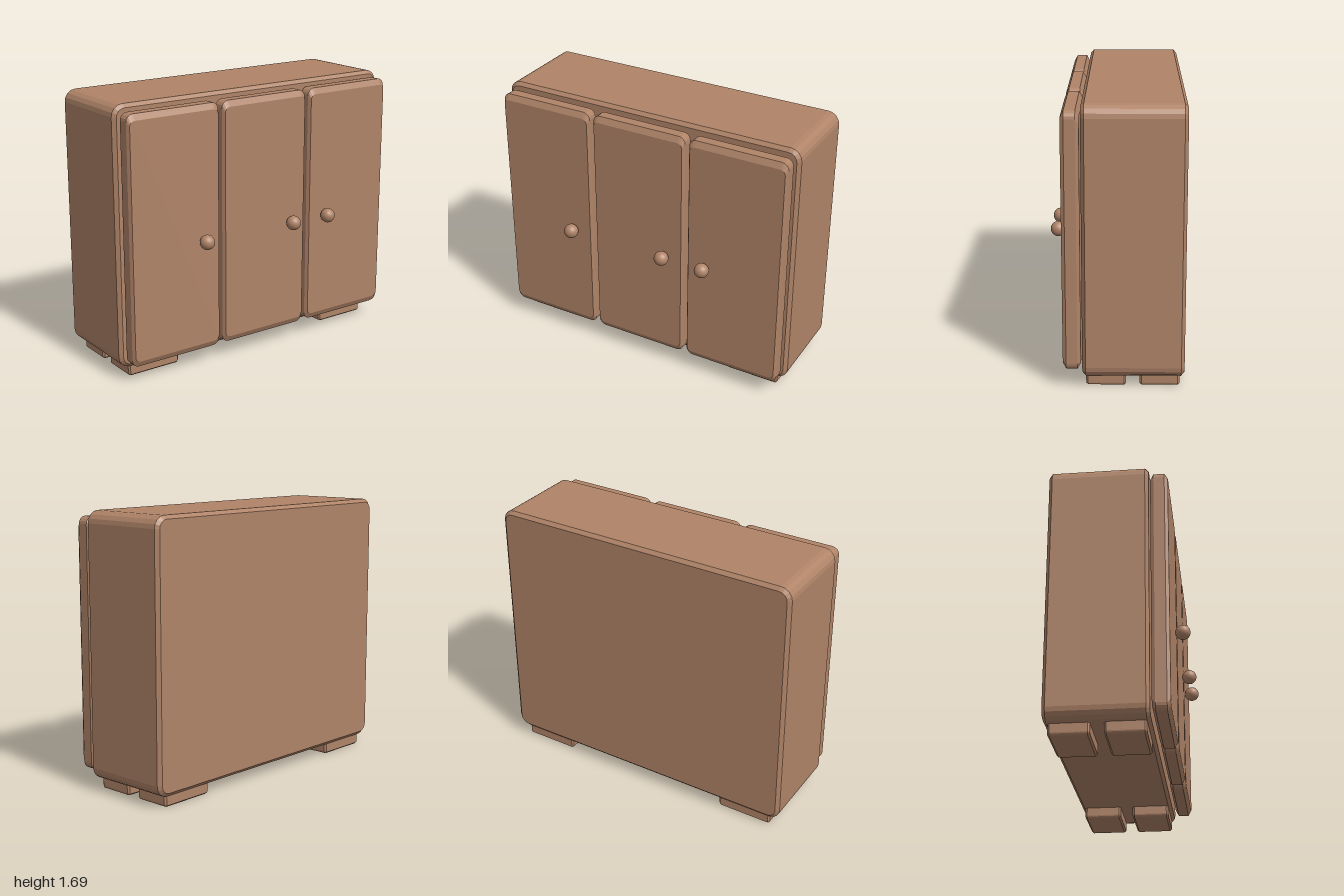
import * as THREE from 'three';

const wood = new THREE.MeshStandardMaterial({ color: 0xb08468, flatShading: true });
const knobWood = new THREE.MeshStandardMaterial({ color: 0xb08468 });

// Upright slab with faceted corners (radius r) and a chamfer round front and back.
// chamferY may be wider than chamferX; it is applied to the outer faces only.
function slab(w, h, d, r, chamferX, chamferY, chamferZ) {
  const c = chamferX, x = w / 2 - r, y = h / 2 - r, q = Math.PI / 2;
  const s = new THREE.Shape();
  [[x, y], [-x, y], [-x, -y], [x, -y]].forEach(([cx, cy], i) =>
    s.absarc(cx, cy, r - c, i * q, (i + 1) * q, false));
  s.closePath();
  const g = new THREE.ExtrudeGeometry(s, {
    depth: d - 2 * chamferZ, curveSegments: 2,
    bevelSegments: 1, bevelSize: c, bevelThickness: chamferZ,
  });
  g.translate(0, 0, chamferZ - d / 2);
  const p = g.attributes.position;
  const k = (h / 2 - chamferY) / (h / 2 - c);
  for (let i = 0; i < p.count; i++) {
    if (Math.abs(p.getZ(i)) > d / 2 - 1e-4) p.setY(i, p.getY(i) * k);
  }
  g.computeVertexNormals();
  return g;
}

export function createModel() {
  const group = new THREE.Group();
  group.name = 'wardrobe';
  const add = (name, geometry, x, y, z, material = wood) => {
    const m = new THREE.Mesh(geometry, material);
    m.name = name;
    m.position.set(x, y, z);
    group.add(m);
  };

  // Cabinet body
  add('cabinetBody', slab(2, 1.62, 0.595, 0.075, 0.022, 0.022, 0.02), 0, 0.88, -0.1025);

  // Three doors, each with a round knob
  const doorGeo = slab(0.63, 1.54, 0.105, 0.045, 0.012, 0.037, 0.02);
  const knobGeo = new THREE.SphereGeometry(0.046, 24, 16);
  [['right', -0.657, -0.47], ['middle', 0, 0.19], ['left', 0.657, 0.47]].forEach(([side, x, knobX]) => {
    add(side + 'Door', doorGeo, x, 0.88, 0.256);
    add(side + 'Knob', knobGeo, knobX, 0.82, 0.354, knobWood);
  });

  // Four block feet
  const footGeo = slab(0.36, 0.09, 0.235, 0.02, 0.01, 0.01, 0.012);
  for (const [side, sx] of [['left', 1], ['right', -1]]) {
    add(side + 'FrontFoot', footGeo, sx * 0.75, 0.045, 0.057);
    add(side + 'BackFoot', footGeo, sx * 0.75, 0.045, -0.257);
  }
  return group;
}
